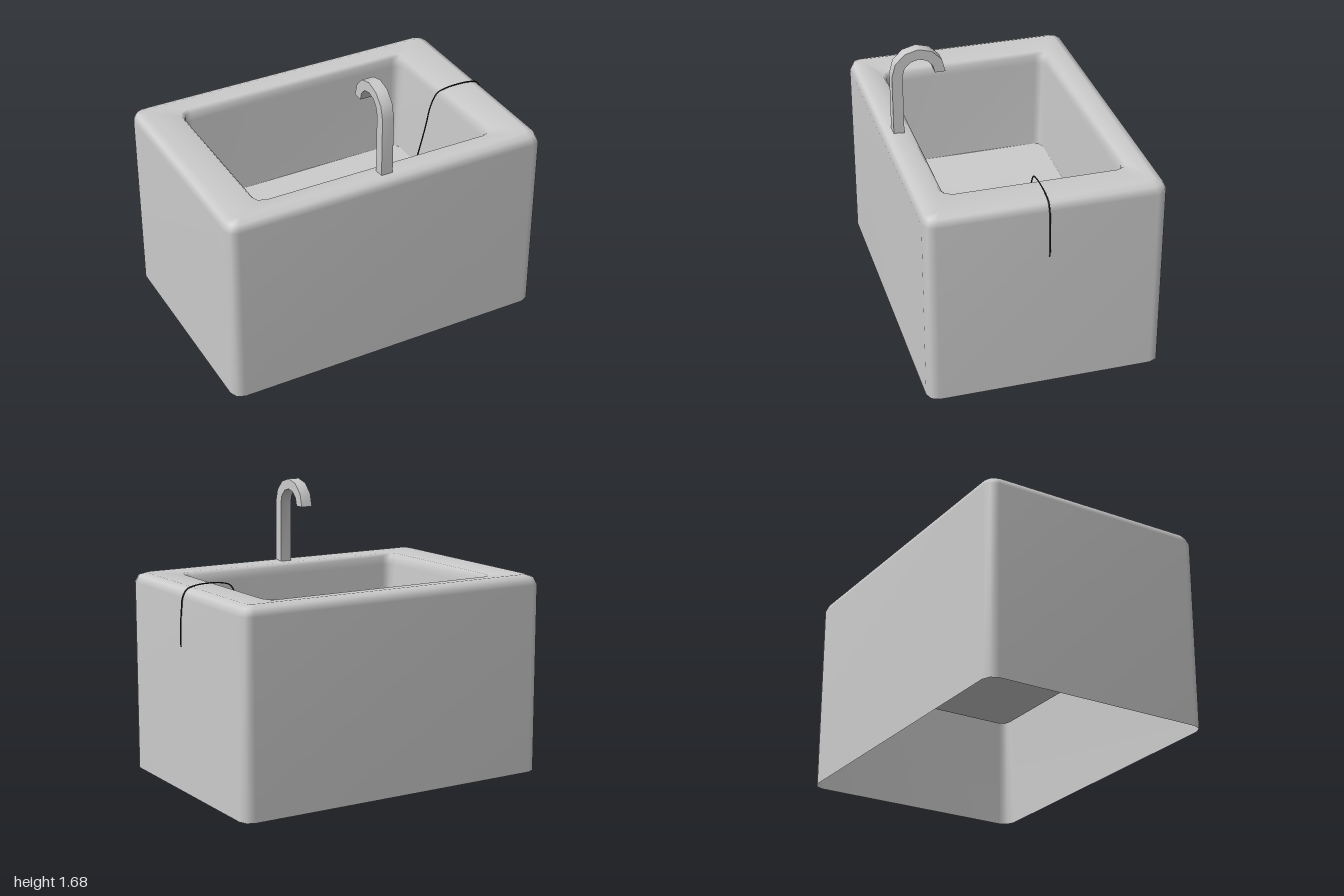
import * as THREE from 'three';
import { toCreasedNormals } from 'three/addons/utils/BufferGeometryUtils.js';

const CX = -0.013; // tub centre; the chain overhangs on the left
const FLOOR = 0.54;

const grey = (extra = {}) => new THREE.MeshStandardMaterial({ color: 0xcccccc, ...extra });
const dark = () => new THREE.MeshStandardMaterial({ color: 0x222222 });

function addMesh(parent, name, geometry, material, y = 0) {
  const mesh = new THREE.Mesh(geometry, material);
  mesh.name = name;
  mesh.position.y = y;
  parent.add(mesh);
}

// Rectangle ring at height y with two-sided corner cuts, running from +x towards +z
function ring([hx, hz, r, y]) {
  const points = [];
  const steps = 2;
  [[1, 1], [-1, 1], [-1, -1], [1, -1]].forEach(([sx, sz], corner) => {
    for (let i = 0; i <= steps; i++) {
      const a = (corner + i / steps) * Math.PI / 2;
      points.push([CX + sx * (hx - r) + r * Math.cos(a), y, sz * (hz - r) + r * Math.sin(a)]);
    }
  });
  return points;
}

// Smooth skin through the rings, closed with a cap on the last one
function loft(sections) {
  const rings = sections.map(ring);
  const n = rings[0].length;
  const index = [];
  for (let s = 0; s < rings.length - 1; s++) {
    for (let i = 0; i < n; i++) {
      const j = (i + 1) % n;
      const a = s * n + i, b = s * n + j, c = a + n, d = b + n;
      index.push(a, c, b, b, c, d);
    }
  }
  const last = (rings.length - 1) * n;
  const centre = rings.length * n;
  for (let i = 0; i < n; i++) index.push(last + i, centre, last + (i + 1) % n);
  const positions = [...rings.flat(2), CX, sections.at(-1)[3], 0];
  const geometry = new THREE.BufferGeometry();
  geometry.setAttribute('position', new THREE.Float32BufferAttribute(positions, 3));
  geometry.setIndex(index);
  geometry.computeVertexNormals();
  return geometry;
}

// Square-section spout: straight post and half-round hook
function tapGeometry() {
  const zc = 0.47, yc = 1.531, outer = 0.154, inner = 0.093, steps = 6;
  const shape = new THREE.Shape();
  shape.moveTo(zc + inner, 1.165);
  shape.lineTo(zc + outer, 1.165);
  const arc = (r, from, to) => {
    for (let i = 0; i <= steps; i++) {
      const a = Math.PI * (from + (to - from) * i / steps);
      shape.lineTo(zc + r * Math.cos(a), yc + r * Math.sin(a));
    }
  };
  arc(outer, 0, 1);
  arc(inner, 1, 0);
  const geometry = new THREE.ExtrudeGeometry(shape, { depth: 0.07, bevelEnabled: false });
  geometry.rotateY(-Math.PI / 2); // profile x becomes z
  geometry.translate(CX + 0.035, 0, 0);
  return toCreasedNormals(geometry, 0.6);
}

export function createModel() {
  const group = new THREE.Group();
  group.name = 'bathtub';

  // Open-bottomed casing, rolled rim and basin as one skin: halfX, halfZ, corner, y
  const sections = [
    [0.987, 0.683, 0.065, 0],
    [0.987, 0.683, 0.065, 1.12],
    [0.968, 0.664, 0.058, 1.162],
    [0.925, 0.621, 0.04, 1.178],
    [0.75, 0.526, 0.065, 1.169],
    [0.733, 0.509, 0.06, 1.15],
    [0.726, 0.503, 0.058, 1.1],
    [0.703, 0.484, 0.052, FLOOR + 0.005],
    [0.698, 0.479, 0.05, FLOOR],
  ];
  addMesh(group, 'tub', loft(sections), grey({ side: THREE.DoubleSide }));

  addMesh(group, 'tap', tapGeometry(), grey());

  // Drain plug with its flange and chain stud
  const plug = new THREE.Group();
  plug.name = 'plug';
  plug.position.set(0.505, FLOOR, 0);
  group.add(plug);
  addMesh(plug, 'drainFlange', new THREE.CylinderGeometry(0.082, 0.088, 0.01, 24), grey(), 0.005);
  addMesh(plug, 'stopper', new THREE.CylinderGeometry(0.05, 0.077, 0.03, 24), dark(), 0.02);
  addMesh(plug, 'chainStud', new THREE.BoxGeometry(0.014, 0.02, 0.02), grey(), 0.043);

  // Taut chain from the plug to the rim, then hanging down the outside
  const path = [
    [0.505, FLOOR + 0.04], [0.55, 0.74], [0.605, 0.95], [0.64, 1.1], [0.68, 1.17],
    [0.73, 1.187], [0.80, 1.193], [0.89, 1.189], [0.95, 1.172],
    [0.978, 1.13], [0.988, 1.05], [0.995, 0.95], [0.994, 0.85],
  ].map(([x, y]) => new THREE.Vector3(x, y, 0));
  addMesh(group, 'chain', new THREE.TubeGeometry(new THREE.CatmullRomCurve3(path), 100, 0.004, 6), dark());

  return group;
}
